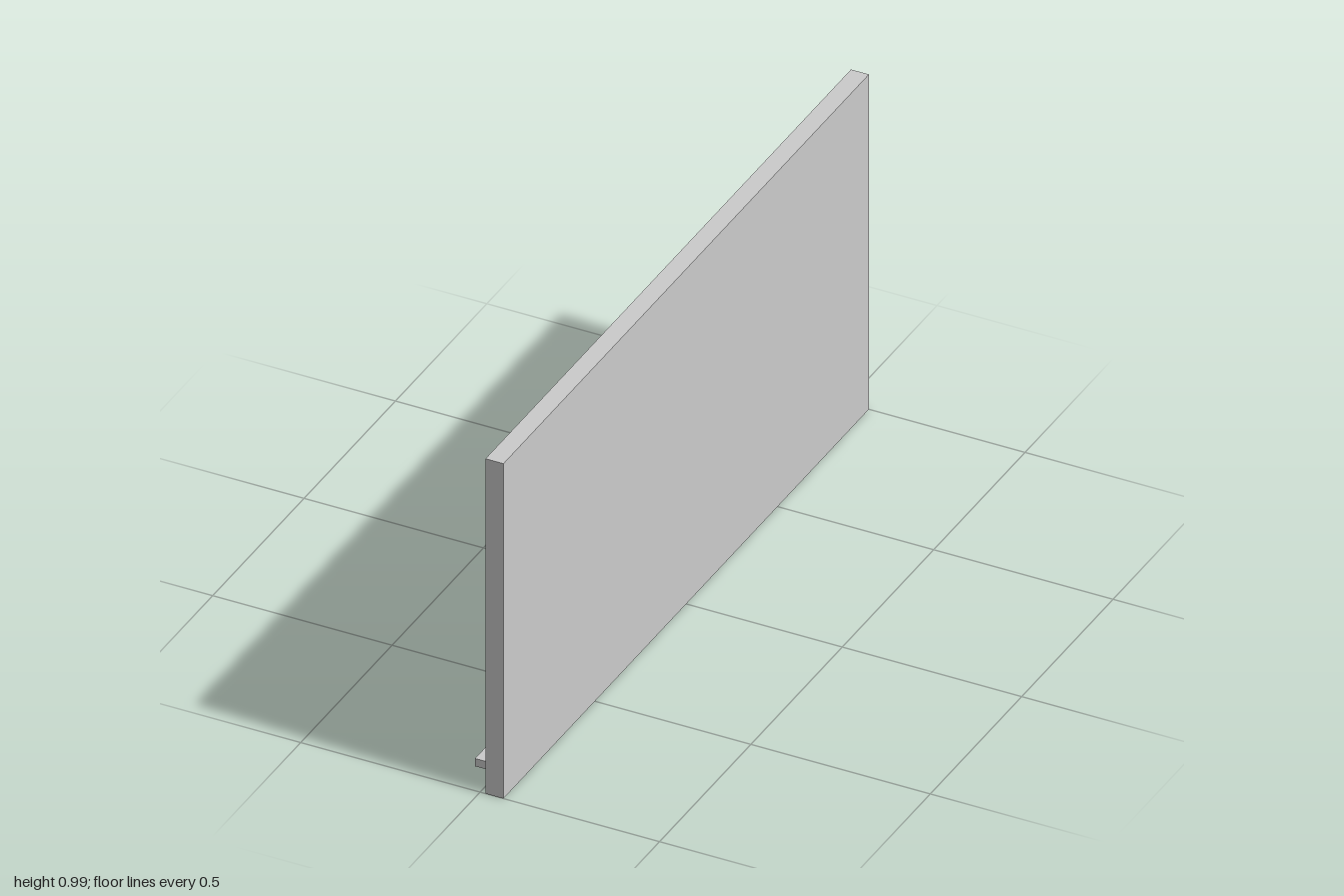
import * as THREE from 'three';

const HEIGHT = 0.99, LENGTH = 2, BORDER = 0.043;
const FACE_X = 0.015, BACK_X = 0.065, BOARD_X = 0.035;

const grey = new THREE.MeshStandardMaterial({ color: 0xcccccc });
const green = new THREE.MeshStandardMaterial({ color: 0x203a1f });

// Box given by its extents along each axis
function box(name, [x0, x1], [y0, y1], [z0, z1], material) {
  const mesh = new THREE.Mesh(new THREE.BoxGeometry(x1 - x0, y1 - y0, z1 - z0), material);
  mesh.position.set((x0 + x1) / 2, (y0 + y1) / 2, (z0 + z1) / 2);
  mesh.name = name;
  return mesh;
}

// Rectangle outline, inset from the outer edge of the board
function outline(PathType, inset) {
  const w = LENGTH / 2 - inset, top = HEIGHT - inset;
  return new PathType([[-w, inset], [w, inset], [w, top], [-w, top]].map(p => new THREE.Vector2(...p)));
}

export function createModel() {
  const group = new THREE.Group();
  group.name = 'chalkboard';

  // Raised frame around the writing surface, which faces -x
  const shape = outline(THREE.Shape, 0);
  shape.holes.push(outline(THREE.Path, BORDER));
  const frameGeometry = new THREE.ExtrudeGeometry(shape, { depth: BACK_X - FACE_X, bevelEnabled: false });
  frameGeometry.rotateY(-Math.PI / 2).translate(BACK_X, 0, 0);
  const frame = new THREE.Mesh(frameGeometry, grey);
  frame.name = 'frame';
  group.add(frame);

  // Backing panel and recessed writing surface fill the opening
  const ySpan = [BORDER, HEIGHT - BORDER];
  const zSpan = [BORDER - LENGTH / 2, LENGTH / 2 - BORDER];
  group.add(box('backPanel', [BOARD_X + 0.005, BACK_X], ySpan, zSpan, grey));
  group.add(box('writingSurface', [BOARD_X, BOARD_X + 0.005], ySpan, zSpan, green));

  // Chalk tray at the foot of the frame
  group.add(box('chalkTray', [-0.065, FACE_X], [0, 0.023], [0.48, 0.9], grey));

  return group;
}
